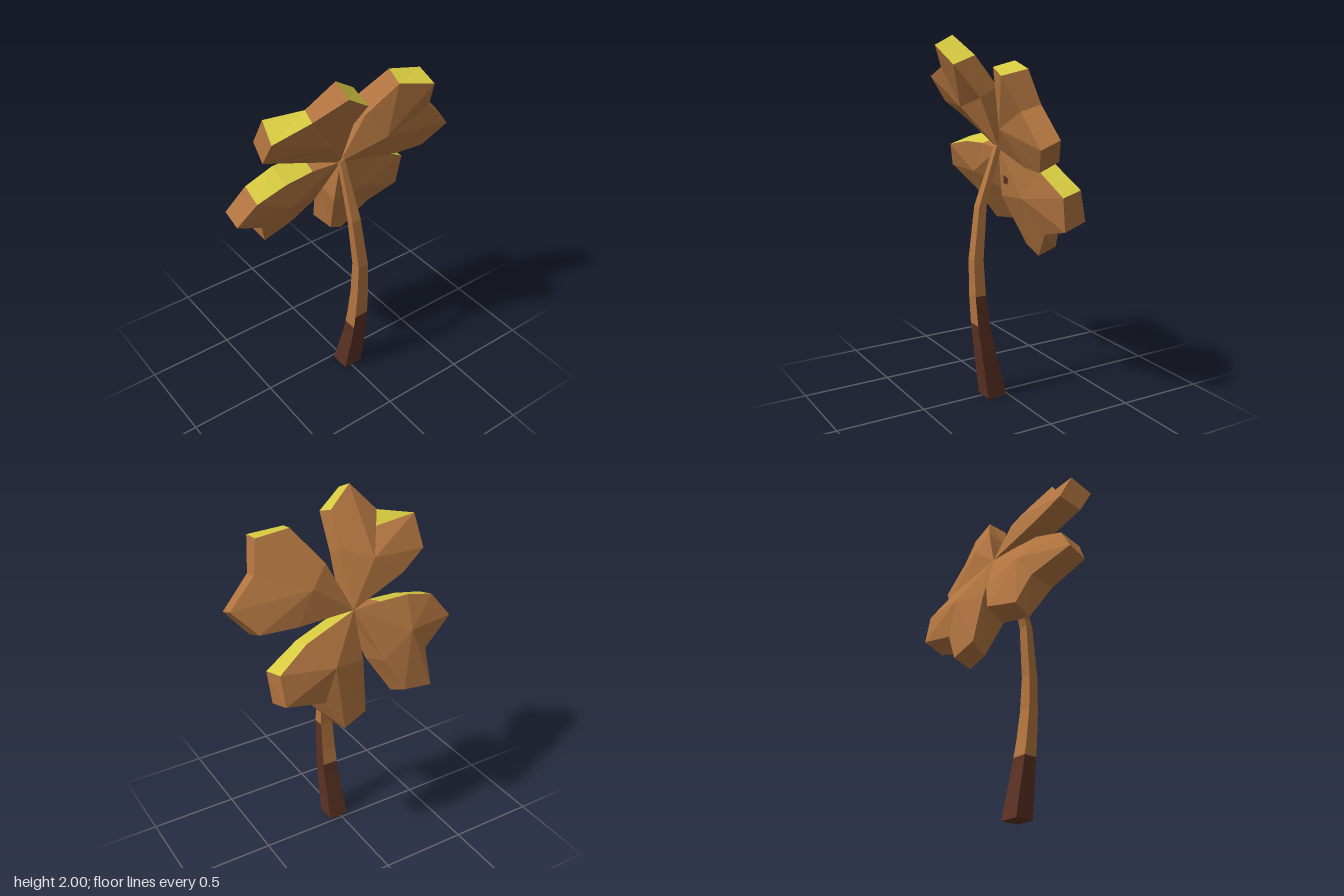
import * as THREE from 'three';

const paint = (name, color) => {
  const m = new THREE.MeshStandardMaterial({ color, flatShading: true });
  m.name = name;
  return m;
};

// Collects triangles by material index into one flat-shaded mesh
class Faces {
  constructor(count) { this.lists = Array.from({ length: count }, () => []); }
  tri(k, a, b, c) { this.lists[k].push(...a, ...b, ...c); }
  quad(k, a, b, c, d) { this.tri(k, a, b, c); this.tri(k, a, c, d); }
  mesh(name, materials) {
    const g = new THREE.BufferGeometry();
    let start = 0;
    this.lists.forEach((list, k) => {
      if (list.length) g.addGroup(start, list.length / 3, k);
      start += list.length / 3;
    });
    g.setAttribute('position', new THREE.Float32BufferAttribute(this.lists.flat(), 3));
    g.computeVertexNormals();
    const m = new THREE.Mesh(g, materials);
    m.name = name;
    return m;
  }
}

const mix = (a, b, t) => a.map((v, i) => v + (b[i] - v) * t);
const hubFront = [-0.005, 1.4, 0.02];
const hubBack = [-0.005, 1.445, -0.11];

// Heart-shaped leaf: rim runs clockwise as [front corner, back corner] pairs,
// mid is the swell of the front face, yellowRim lists the yellow edge strips
function leaf(name, materials, mid, rim, yellowRim, patchAt = -1) {
  const faces = new Faces(2);
  const loop = [[hubFront, hubBack], ...rim];
  const midBack = [mid[0], mid[1] + 0.06, mid[2] - 0.22];
  loop.forEach(([f, b], i) => {
    const [f2, b2] = loop[(i + 1) % loop.length];
    faces.tri(0, mid, f2, f);
    faces.quad(yellowRim.includes(i) ? 1 : 0, f, f2, b2, b);
    if (i === patchAt) {            // yellow corner on the back face
      const q = mix(b2, midBack, 0.35);
      faces.tri(1, q, b, b2);
      faces.tri(0, midBack, b, q);
    } else faces.tri(0, midBack, b, b2);
  });
  return faces.mesh(name, materials);
}

// Square stem lofted through [y, x0, x1, z0, z1] sections
function stem(materials) {
  const rows = [
    [0, -0.045, 0.07, 0.016, 0.13], [0.28, -0.025, 0.07, 0.085, 0.172],
    [0.35, -0.023, 0.067, 0.098, 0.18], [0.44, -0.021, 0.063, 0.115, 0.19],
    [0.61, -0.018, 0.057, 0.138, 0.202], [0.81, -0.015, 0.049, 0.147, 0.205],
    [1.1, -0.028, 0.028, 0.115, 0.16], [1.42, -0.02, 0.01, 0.01, 0.04],
  ];
  const darkTop = [0.44, 0.61, 0.35, 0.35];   // front, left, back, right
  const rings = rows.map(([y, x0, x1, z0, z1]) =>
    [[x0, y, z1], [x1, y, z1], [x1, y, z0], [x0, y, z0]]);
  const faces = new Faces(2);
  for (let r = 0; r < rings.length - 1; r++) {
    for (let s = 0; s < 4; s++) {
      const n = (s + 1) % 4;
      const k = rows[r + 1][0] <= darkTop[s] ? 1 : 0;
      faces.quad(k, rings[r][s], rings[r][n], rings[r + 1][n], rings[r + 1][s]);
    }
  }
  const [a, b, c, d] = rings[0];
  faces.quad(1, d, c, b, a);
  faces.quad(0, ...rings[rings.length - 1]);
  return faces.mesh('stem', materials);
}

export function createModel() {
  const brown = paint('leafBrown', 0xb27540);
  const yellow = paint('edgeYellow', 0xd6ca40);
  const dark = paint('darkBrown', 0x5a3123);
  const leafMats = [brown, yellow];
  const group = new THREE.Group();
  group.name = 'clover';

  group.add(stem([brown, dark]));

  group.add(leaf('upperRightLeaf', leafMats, [-0.165, 1.62, 0.165], [
    [[-0.335, 1.525, 0.03], [-0.33, 1.57, -0.08]],
    [[-0.51, 1.615, 0.08], [-0.48, 1.665, -0.045]],
    [[-0.51, 1.76, 0.17], [-0.48, 1.83, 0.05]],
    [[-0.305, 1.825, 0.207], [-0.295, 1.858, 0.132]],
    [[-0.17, 1.95, 0.31], [-0.17, 2, 0.205]],
    [[-0.03, 1.855, 0.275], [-0.025, 1.9, 0.15]],
    [[-0.005, 1.68, 0.13], [0, 1.735, 0.03]],
  ], [3, 5], 3));

  group.add(leaf('upperLeftLeaf', leafMats, [0.21, 1.54, 0.145], [
    [[0.11, 1.67, 0.08], [0.12, 1.71, -0.04]],
    [[0.23, 1.855, 0.19], [0.255, 1.885, 0.078]],
    [[0.41, 1.825, 0.25], [0.43, 1.855, 0.11]],
    [[0.457, 1.655, 0.167], [0.47, 1.685, 0.06]],
    [[0.61, 1.485, 0.152], [0.62, 1.528, 0.045]],
    [[0.5, 1.355, 0.085], [0.5, 1.4, -0.03]],
    [[0.34, 1.355, 0.07], [0.3, 1.41, -0.07]],
  ], [2]));

  const lowerLeftMid = [0.175, 1.155, -0.015];
  const lowerLeftInner = [-0.025, 1.14, -0.01];
  group.add(leaf('lowerLeftLeaf', leafMats, lowerLeftMid, [
    [[0.3, 1.322, -0.04], [0.295, 1.348, -0.145]],
    [[0.49, 1.21, -0.065], [0.472, 1.235, -0.185]],
    [[0.475, 1.025, -0.09], [0.465, 1.065, -0.222]],
    [[0.275, 0.97, -0.1], [0.235, 1.02, -0.225]],
    [[0.13, 0.81, -0.155], [0.14, 0.85, -0.26]],
    [[0.04, 0.865, -0.13], [0, 0.905, -0.245]],
    [lowerLeftInner, [-0.015, 1.19, -0.19]],
  ], [0, 1]));

  group.add(leaf('lowerRightLeaf', leafMats, [-0.31, 1.23, 0.01], [
    [[-0.09, 1.13, -0.1], [-0.11, 1.185, -0.25]],
    [[-0.185, 0.955, -0.205], [-0.2, 1.01, -0.315]],
    [[-0.37, 0.93, -0.18], [-0.39, 0.97, -0.29]],
    [[-0.44, 1.105, -0.08], [-0.41, 1.15, -0.2]],
    [[-0.62, 1.22, -0.02], [-0.622, 1.262, -0.125]],
    [[-0.53, 1.36, 0.04], [-0.52, 1.4, -0.085]],
    [[-0.35, 1.4, 0.03], [-0.35, 1.445, -0.1]],
    [[-0.18, 1.41, 0.02], [-0.17, 1.45, -0.105]],
  ], [6, 7]));

  // Small dark fleck on the front of the lower left leaf
  const fleck = new Faces(1);
  const onLeaf = (u, v) => hubFront.map((c, i) =>
    c + (lowerLeftMid[i] - c) * u + (lowerLeftInner[i] - c) * v + (i === 2 ? 0.004 : 0));
  fleck.quad(0, onLeaf(0.16, 0.56), onLeaf(0.36, 0.38), onLeaf(0.43, 0.19), onLeaf(0.2, 0.34));
  group.add(fleck.mesh('leafFleck', [dark]));

  return group;
}
